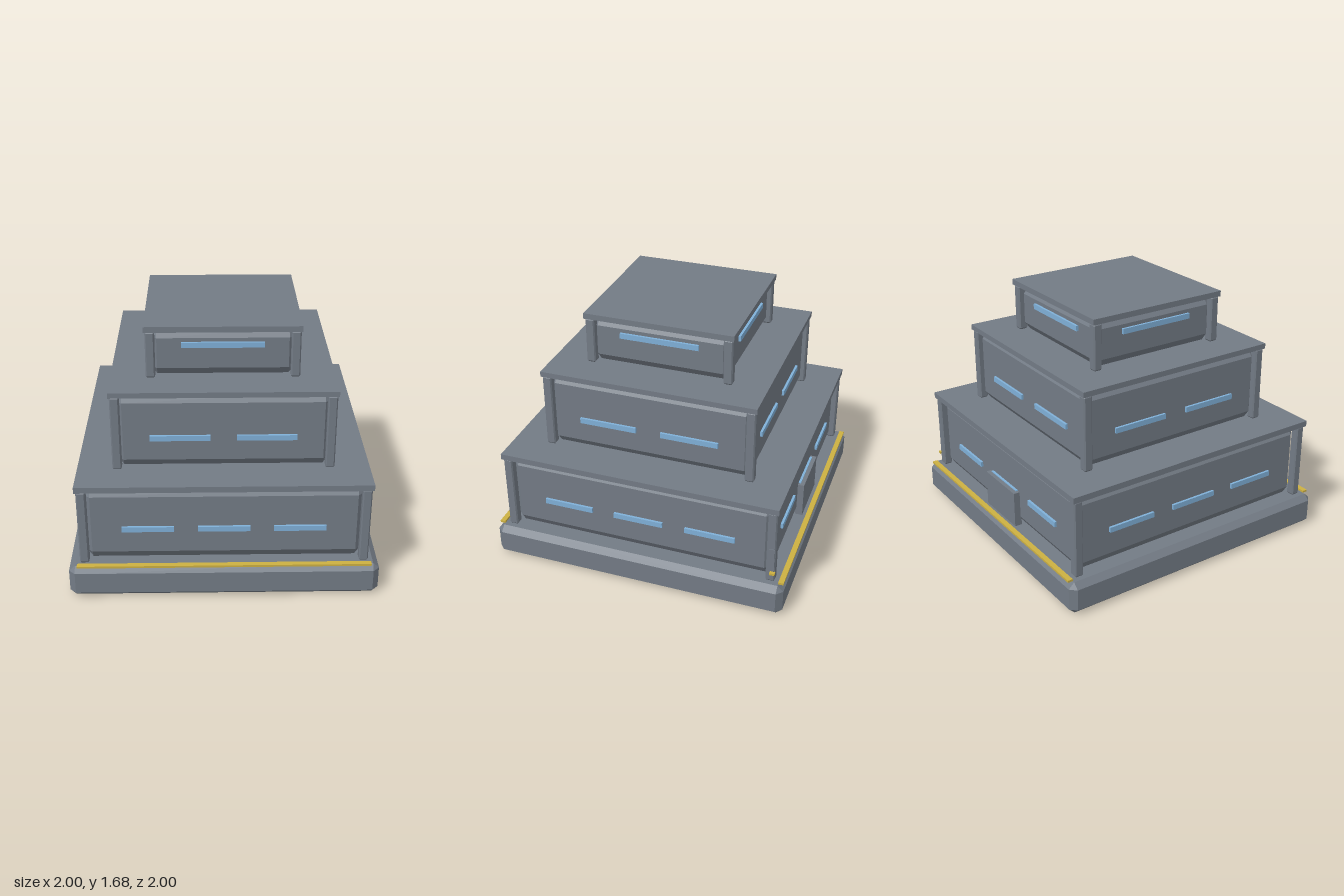
import * as THREE from 'three';
import { ConvexGeometry } from 'three/addons/geometries/ConvexGeometry.js';

// Box with chamfered edges: b is the sideways chamfer, v the vertical one
function chamferBox(w, h, d, b, v) {
  const pts = [];
  for (const sx of [-1, 1]) for (const sy of [-1, 1]) for (const sz of [-1, 1]) {
    const x = sx * w / 2, y = sy * h / 2, z = sz * d / 2;
    pts.push(new THREE.Vector3(x, y - sy * v, z - sz * b));
    pts.push(new THREE.Vector3(x - sx * b, y, z - sz * b));
    pts.push(new THREE.Vector3(x - sx * b, y - sy * v, z));
  }
  return new ConvexGeometry(pts);
}

export function createModel() {
  const model = new THREE.Group();
  model.name = 'steppedTower';

  const material = (name, color) => {
    const m = new THREE.MeshStandardMaterial({ color });
    m.name = name;
    return m;
  };
  const grey = material('slate grey', 0x737b85);
  const blue = material('window blue', 0x7fb0d8);
  const gold = material('trim gold', 0xccb042);

  const add = (parent, name, geometry, mat, x, y, z) => {
    const mesh = new THREE.Mesh(geometry, mat);
    mesh.name = name;
    mesh.position.set(x, y, z);
    parent.add(mesh);
    return mesh;
  };

  // Foundation
  add(model, 'foundation', chamferBox(2, 0.22, 2, 0.04, 0.037), grey, 0, 0.11, 0);

  // Tiers: half sizes, heights and window layout
  const tiers = [
    { roof: 0.94, body: 0.89, post: 0.9, y0: 0.22, y1: 0.745, top: 0.785, v: 0.06,
      winY: 0.453, winW: 0.335, winX: [-0.487, 0, 0.487] },
    { roof: 0.72, body: 0.68, post: 0.682, y0: 0.785, y1: 1.292, top: 1.328, v: 0.054,
      winY: 0.997, winW: 0.385, winX: [-0.276, 0.276] },
    { roof: 0.5, body: 0.46, post: 0.462, y0: 1.328, y1: 1.638, top: 1.676, v: 0.053,
      winY: 1.542, winW: 0.527, winX: [0] },
  ];
  tiers.forEach((t, i) => {
    const tier = new THREE.Group();
    tier.name = 'tier' + (i + 1);
    model.add(tier);
    const h = t.y1 - t.y0, mid = (t.y0 + t.y1) / 2;
    add(tier, 'walls', chamferBox(t.body * 2, h, t.body * 2, 0.04, t.v), grey, 0, mid, 0);
    add(tier, 'roofSlab', new THREE.BoxGeometry(t.roof * 2, t.top - t.y1, t.roof * 2), grey,
      0, (t.y1 + t.top) / 2, 0);
    // Corner posts
    const post = chamferBox(0.06, h, 0.06, 0.008, 0.01);
    for (const sx of [-1, 1]) for (const sz of [-1, 1])
      add(tier, 'cornerPost', post, grey, sx * t.post, mid, sz * t.post);
    // Windows on all four sides
    const pane = new THREE.BoxGeometry(t.winW, 0.036, 0.02);
    for (let side = 0; side < 4; side++) {
      const wall = new THREE.Group();
      wall.name = 'windowRow';
      wall.rotation.y = side * Math.PI / 2;
      tier.add(wall);
      for (const x of t.winX) add(wall, 'window', pane, blue, x, t.winY, t.body + 0.006);
    }
  });

  // Gold strips along the front and back edges
  for (const s of [-1, 1])
    add(model, 'edgeStrip', new THREE.BoxGeometry(1.89, 0.014, 0.035), gold, 0, 0.228, s * 0.977);

  // Rear door
  add(model, 'rearDoor', new THREE.BoxGeometry(0.38, 0.245, 0.05), grey, 0, 0.343, -0.908);

  // Control panel with a small ledge on the rear corner post
  add(model, 'controlPanel', new THREE.BoxGeometry(0.012, 0.17, 0.04), grey, 0.929, 0.39, -0.905);
  add(model, 'panelLedge', new THREE.BoxGeometry(0.025, 0.015, 0.034), gold, 0.942, 0.295, -0.917);

  return model;
}
